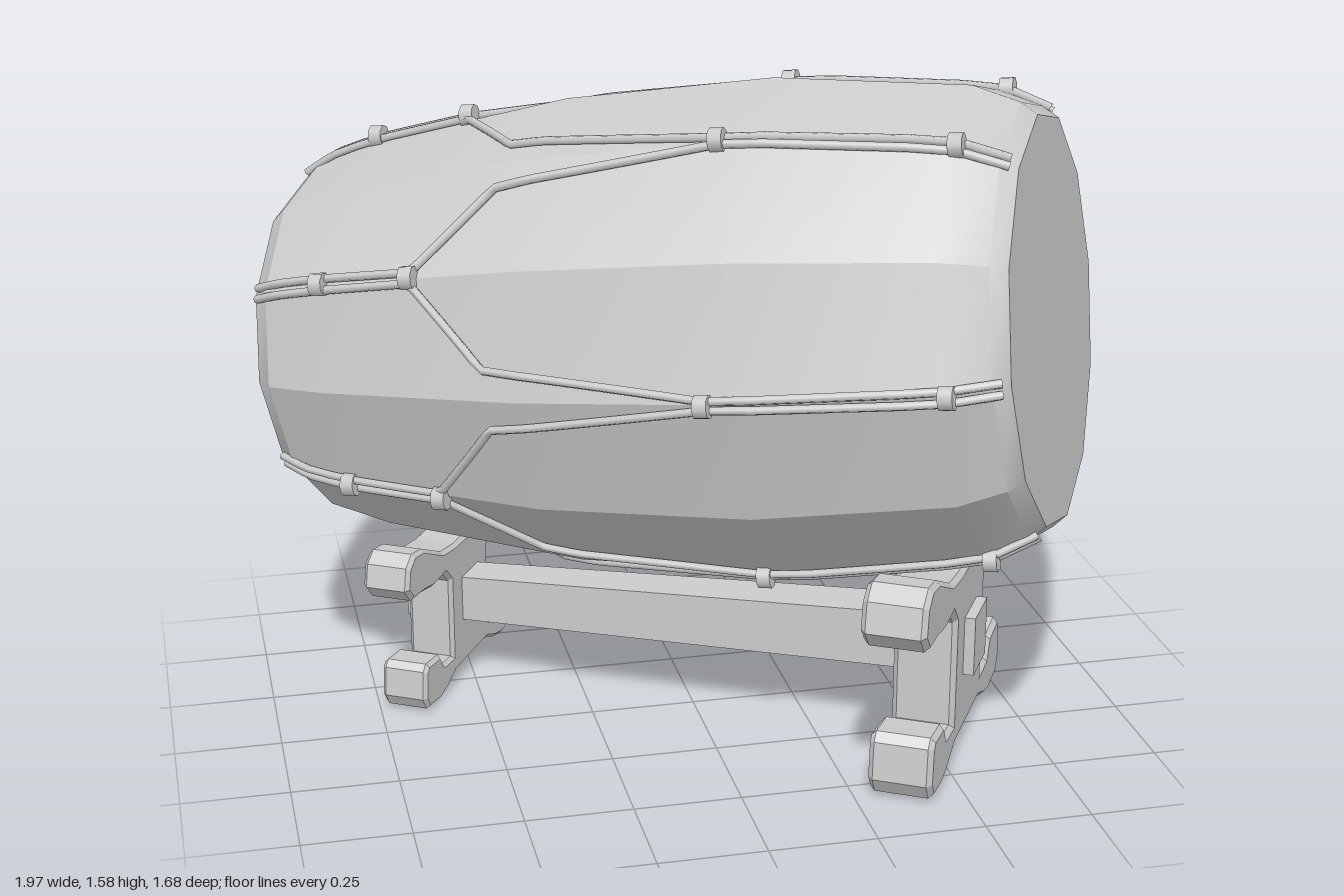
import * as THREE from 'three';
import { toCreasedNormals } from 'three/addons/utils/BufferGeometryUtils.js';

const SIDES = 12;
const TILT = 0.118;
// barrel profile: [radius, position along the axis], rear to front
const PROFILE = [
  [0.385, -0.95], [0.425, -0.905], [0.47, -0.75], [0.553, -0.25],
  [0.578, 0.25], [0.54, 0.7], [0.497, 0.805], [0.468, 0.84],
];
// half outline of a stand: [sideways, up], bottom centre to top centre
const STAND = [
  [0.13, 0.04], [0.2, 0.012], [0.26, 0], [0.35, 0.01], [0.375, 0.05],
  [0.365, 0.14], [0.345, 0.16], [0.25, 0.15], [0.22, 0.105], [0.15, 0.1],
  [0.15, 0.36], [0.19, 0.4], [0.28, 0.395], [0.36, 0.41], [0.44, 0.415],
  [0.48, 0.46], [0.465, 0.53], [0.42, 0.56], [0.35, 0.55], [0.2, 0.48], [0.1, 0.467],
];

const material = new THREE.MeshStandardMaterial({ color: 0xcccccc });

function add(parent, name, geometry) {
  const mesh = new THREE.Mesh(geometry, material);
  mesh.name = name;
  parent.add(mesh);
  return mesh;
}

function radiusAt(t) {
  let i = 0;
  while (i < PROFILE.length - 2 && t > PROFILE[i + 1][1]) i++;
  const [r0, t0] = PROFILE[i];
  const [r1, t1] = PROFILE[i + 1];
  return THREE.MathUtils.lerp(r0, r1, (t - t0) / (t1 - t0));
}

// point on the faceted barrel, lifted off the surface
function onBarrel(angle, t, lift) {
  const step = (2 * Math.PI) / SIDES;
  const local = THREE.MathUtils.euclideanModulo(angle, step) - step / 2;
  const r = (radiusAt(t) * Math.cos(step / 2)) / Math.cos(local) + lift;
  return new THREE.Vector3(r * Math.sin(angle), t, r * Math.cos(angle));
}

// cord through [angle, t] stops, following the barrel
function cord(stops) {
  const path = new THREE.CurvePath();
  const n = 6;
  let last = onBarrel(...stops[0], 0.011);
  for (let i = 1; i < stops.length; i++) {
    for (let j = 1; j <= n; j++) {
      const a = THREE.MathUtils.lerp(stops[i - 1][0], stops[i][0], j / n);
      const t = THREE.MathUtils.lerp(stops[i - 1][1], stops[i][1], j / n);
      const next = onBarrel(a, t, 0.011);
      path.add(new THREE.LineCurve3(last, next));
      last = next;
    }
  }
  return new THREE.TubeGeometry(path, 60, 0.01, 6, false);
}

function makeDrum() {
  const drum = new THREE.Group();
  drum.name = 'drum';
  const points = [[0, PROFILE[0][1]], ...PROFILE, [0, PROFILE[PROFILE.length - 1][1]]]
    .map(([r, t]) => new THREE.Vector2(r, t));
  add(drum, 'barrel', toCreasedNormals(new THREE.LatheGeometry(points, SIDES), 0.42));

  const clasp = new THREE.CylinderGeometry(0.027, 0.027, 0.032, 8);
  const addClasp = (angle, t) => {
    const mesh = add(drum, 'cordClasp', clasp);
    mesh.position.copy(onBarrel(angle, t, 0.011));
    mesh.rotation.y = angle;
  };

  // cords run in pairs at both ends and fan out into a zigzag between
  for (let k = 0; k < 6; k++) {
    const front = Math.PI / 6 + (k * Math.PI) / 3;
    const rear = front + Math.PI / 6;
    for (const side of [-1, 1]) {
      const far = front + (side * Math.PI) / 6;
      add(drum, 'cord', cord([
        [far - side * 0.032, -0.935],
        [far - side * 0.024, -0.5],
        [front + side * 0.13, -0.32],
        [front + side * 0.018, 0.2],
        [front + side * 0.026, 0.825],
      ]));
    }
    addClasp(front, 0.2);
    addClasp(front, 0.72);
    addClasp(rear, -0.5);
    addClasp(rear, -0.74);
  }
  return drum;
}

function standGeometry() {
  const mirrored = STAND.map(([u, y]) => [-u, y]).reverse();
  const shape = new THREE.Shape([...STAND, ...mirrored].map(([u, y]) => new THREE.Vector2(u, y)));
  const depth = 0.125;
  const bevel = 0.012;
  return new THREE.ExtrudeGeometry(shape, {
    depth, bevelEnabled: true, bevelThickness: bevel, bevelSize: bevel,
    bevelOffset: -bevel, bevelSegments: 1,
  }).translate(0, 0, -depth / 2);
}

export function createModel() {
  const model = new THREE.Group();
  model.name = 'drumOnStand';
  model.position.set(0.013, 0, -0.022);
  model.rotation.y = 1.039;

  // barrel with its cords, front end raised
  const drum = makeDrum();
  drum.position.y = 0.962;
  drum.rotation.x = Math.PI / 2 - TILT;
  model.add(drum);

  // large front stand and smaller rear stand
  const geometry = standGeometry();
  add(model, 'frontStand', geometry).position.z = 0.6;
  const rearStand = add(model, 'rearStand', geometry);
  rearStand.position.z = -0.65;
  rearStand.scale.setScalar(0.78);

  // tapered beam passing through both stands
  const beam = new THREE.BoxGeometry(0.13, 0.145, 1.44);
  const p = beam.attributes.position;
  for (let i = 0; i < p.count; i++) {
    const rear = p.getZ(i) < 0;
    const s = rear ? 0.76 : 1;
    p.setXYZ(i, p.getX(i) * s, p.getY(i) * s + (rear ? 0.2 : 0.265), p.getZ(i) - 0.02);
  }
  beam.computeVertexNormals();
  add(model, 'beam', beam);

  const group = new THREE.Group();
  group.add(model);
  return group;
}
